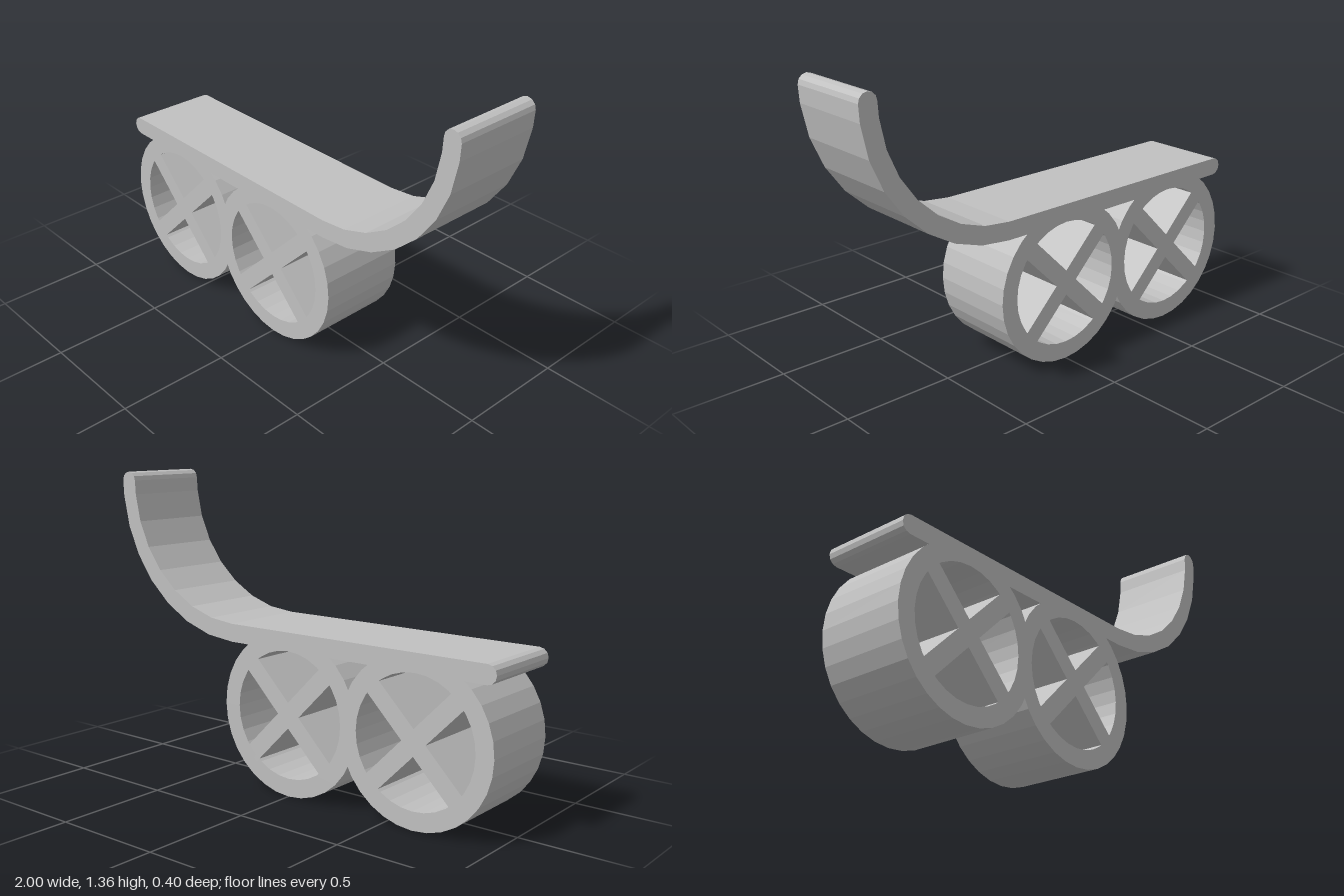
import * as THREE from 'three';

const DEPTH = 0.4;      // width of the cart along z
const HALF = 0.04;      // half thickness of deck, rims and spokes

export function createModel() {
  const group = new THREE.Group();
  const grey = new THREE.MeshStandardMaterial({ color: 0xc0c0c0 });
  grey.name = 'grey';

  const polar = (cx, cy, r, deg) => {
    const a = THREE.MathUtils.degToRad(deg);
    return new THREE.Vector2(cx + r * Math.cos(a), cy + r * Math.sin(a));
  };
  const circle = (r, n) => Array.from({ length: n }, (_, i) => polar(0, 0, r, (i * 360) / n));

  // Extruded faces have separate normals, so the facets stay flat
  const extrude = (shape) => {
    const g = new THREE.ExtrudeGeometry(shape, { depth: DEPTH, bevelEnabled: false });
    g.translate(0, 0, -DEPTH / 2);
    return g;
  };
  const add = (parent, geometry, name) => {
    const mesh = new THREE.Mesh(geometry, grey);
    mesh.name = name;
    parent.add(mesh);
    return mesh;
  };

  // Deck: flat board sweeping up into a quarter-circle backrest, round at both ends
  const cx = 0.32, cy = 1.32, r = 0.64;
  const sweep = [270, 282, 294, 306, 318, 330, 342, 354, 360];
  const outline = [];
  for (const a of sweep) outline.push(polar(cx, cy, r + HALF, a));
  for (let a = 30; a < 180; a += 30) outline.push(polar(cx + r, cy, HALF, a));
  for (const a of [...sweep].reverse()) outline.push(polar(cx, cy, r - HALF, a));
  for (let a = 90; a <= 270; a += 30) outline.push(polar(-0.96, 0.68, HALF, a));
  add(group, extrude(new THREE.Shape(outline)), 'deckAndBackrest');

  // Two touching wheels with crossed diagonal spokes
  const rimShape = new THREE.Shape(circle(0.36, 32));
  rimShape.holes.push(new THREE.Path(circle(0.28, 32)));
  const rimGeometry = extrude(rimShape);
  const spokeGeometry = new THREE.BoxGeometry(0.6, HALF * 2, DEPTH);
  [['leftWheel', 0], ['rightWheel', -0.64]].forEach(([name, x]) => {
    const wheel = new THREE.Group();
    wheel.name = name;
    wheel.position.set(x, 0.36, 0);
    add(wheel, rimGeometry, 'rim');
    for (const s of [1, -1]) add(wheel, spokeGeometry, 'spoke').rotation.z = (s * Math.PI) / 4;
    group.add(wheel);
  });

  return group;
}
